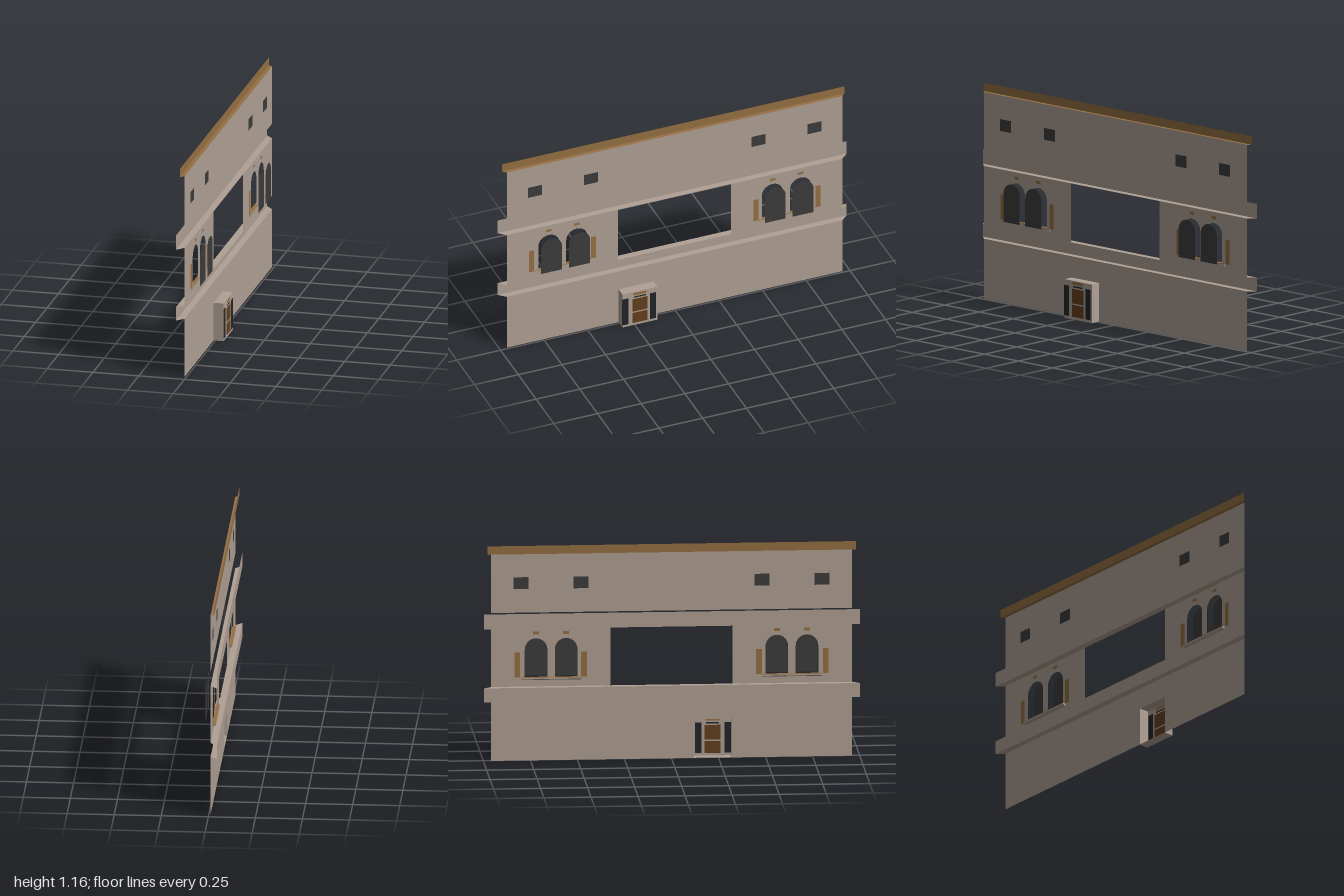
import * as THREE from 'three';

const mat = (name, color) => {
  const m = new THREE.MeshStandardMaterial({ color, side: THREE.DoubleSide });
  m.name = name;
  return m;
};

const WALL = -0.01;      // plane of the wall; the street side faces -x
const ALCOVE = 0.045;    // back of the door recess
const PANE = 0.03;       // window panes, set back from the wall

export function createModel() {
  const plaster = mat('plaster', 0xb0a195);
  const timber = mat('timber', 0x967043);
  const doorWood = mat('doorWood', 0x643f1c);
  const glass = mat('darkGlass', 0x3c3c3c);
  const iron = mat('blackIron', 0x222427);

  const model = new THREE.Group();
  model.name = 'facade';

  const add = (name, geometry, material) => {
    const mesh = new THREE.Mesh(geometry, material);
    mesh.name = name;
    model.add(mesh);
    return mesh;
  };

  // Outlines are drawn in (z, y)
  const rect = (z0, z1, y0, y1, Type = THREE.Shape) => {
    const s = new Type();
    s.moveTo(z0, y0);
    s.lineTo(z1, y0);
    s.lineTo(z1, y1);
    s.lineTo(z0, y1);
    s.closePath();
    return s;
  };
  const arch = (z, Type = THREE.Shape) => {
    const r = 0.06, s = new Type();
    s.moveTo(z - r, 0.45);
    s.lineTo(z + r, 0.45);
    s.lineTo(z + r, 0.6);
    s.absarc(z, 0.6, r, 0, Math.PI, false);
    s.closePath();
    return s;
  };

  // Flat sheet standing at a given x, facing -x
  const sheet = (name, shape, x, material) => {
    const g = new THREE.ShapeGeometry(shape, 10);
    g.rotateY(-Math.PI / 2);
    g.translate(x, 0, 0);
    return add(name, g, material);
  };
  // Thin painted detail showing on both sides of a sheet
  const painted = (name, shape, x, material) => {
    for (const d of [-0.002, 0.002]) sheet(name, shape, x + d, material);
  };
  // Open strip joining two (x, y, half-length) rails, mitred at the ends
  const strip = (name, a, b, material) => {
    const g = new THREE.BufferGeometry();
    const p = [a[0], a[1], -a[2], a[0], a[1], a[2], b[0], b[1], b[2], b[0], b[1], -b[2]];
    g.setAttribute('position', new THREE.Float32BufferAttribute(p, 3));
    g.setIndex([0, 1, 2, 0, 2, 3]);
    g.computeVertexNormals();
    return add(name, g, material);
  };

  // Ground floor wall with the doorway
  const ground = new THREE.Shape();
  [[-0.96, 0], [0.12, 0], [0.12, 0.21], [0.32, 0.21], [0.32, 0], [0.96, 0], [0.96, 0.325], [-0.96, 0.325]]
    .forEach(([z, y], i) => (i ? ground.lineTo(z, y) : ground.moveTo(z, y)));
  sheet('groundFloorWall', ground, WALL, plaster);

  // Top floor wall
  sheet('topFloorWall', rect(-0.96, 0.96, 0.8, 1.12), WALL, plaster);

  // Ledges and cornice
  const band = (name, y0, y1, x, half, material, capped) => {
    strip(name + 'Face', [x, y0, half], [x, y1, half], material);
    strip(name + 'Underside', [WALL, y0, 0.96], [x, y0, half], material);
    if (capped) strip(name + 'Top', [x, y1, half], [WALL, y1, 0.96], material);
  };
  band('lowerLedge', 0.325, 0.4, -0.046, 1, plaster, true);
  band('upperLedge', 0.72, 0.8, -0.046, 1, plaster, false);
  band('cornice', 1.12, 1.165, -0.03, 0.98, timber, false);

  for (const s of [-1, 1]) {
    // Middle floor wall, one each side of the open bay
    const wall = rect(s * 0.323, s * 0.96, 0.4, 0.72);
    for (const z of [0.56, 0.72]) {
      wall.holes.push(arch(s * z, THREE.Path));
      sheet('windowPane', arch(s * z), PANE, glass);
      painted('windowKeystone', rect(s * z - 0.016, s * z + 0.016, 0.682, 0.697), WALL, timber);
    }
    sheet('middleFloorWall', wall, WALL, plaster);

    // Timber strips beside each window pair
    for (const z of [0.465, 0.82])
      painted('windowTrim', rect(s * z - 0.015, s * z + 0.015, 0.45, 0.585), WALL, timber);

    // Window sill with a sloping underside and a timber top
    const profile = new THREE.Shape();
    profile.moveTo(-0.026, 0.449);
    profile.lineTo(-0.026, 0.442);
    profile.lineTo(-0.006, 0.433);
    profile.lineTo(-0.006, 0.449);
    profile.closePath();
    const sill = new THREE.ExtrudeGeometry(profile, { depth: 0.32, bevelEnabled: false });
    sill.translate(0, 0, s * 0.64 - 0.16);
    add('windowSill', sill, plaster);
    const top = new THREE.BoxGeometry(0.02, 0.002, 0.32);
    top.translate(-0.016, 0.45, s * 0.64);
    add('sillTop', top, timber);

    // Small vents on the top floor
    for (const z of [0.48, 0.8])
      painted('vent', rect(s * z - 0.04, s * z + 0.04, 0.928, 0.992), WALL, glass);
  }

  // Door recess: back, sides, floor and ceiling
  const depth = ALCOVE - WALL, mid = (ALCOVE + WALL) / 2;
  sheet('recessBack', rect(0.12, 0.32, 0, 0.21), ALCOVE, plaster);
  for (const z of [0.12, 0.32]) {
    const side = new THREE.PlaneGeometry(depth, 0.21);
    side.translate(mid, 0.105, z);
    add('recessSide', side, plaster);
  }
  for (const y of [0.001, 0.21]) {
    const flat = new THREE.PlaneGeometry(depth, 0.2);
    flat.rotateX(-Math.PI / 2);
    flat.translate(mid, y, 0.22);
    add(y > 0.1 ? 'recessCeiling' : 'recessFloor', flat, plaster);
  }

  // Door panels and iron side strips
  for (const [y0, y1] of [[0.015, 0.08], [0.088, 0.167]])
    painted('doorPanel', rect(0.178, 0.264, y0, y1), ALCOVE, doorWood);
  painted('doorLintel', rect(0.185, 0.258, 0.19, 0.205), ALCOVE, timber);
  painted('doorBar', rect(0.187, 0.256, 0.175, 0.183), ALCOVE, iron);
  for (const z of [0.146, 0.304])
    painted('doorSideStrip', rect(z - 0.018, z + 0.018, 0.015, 0.18), ALCOVE, iron);

  return model;
}
